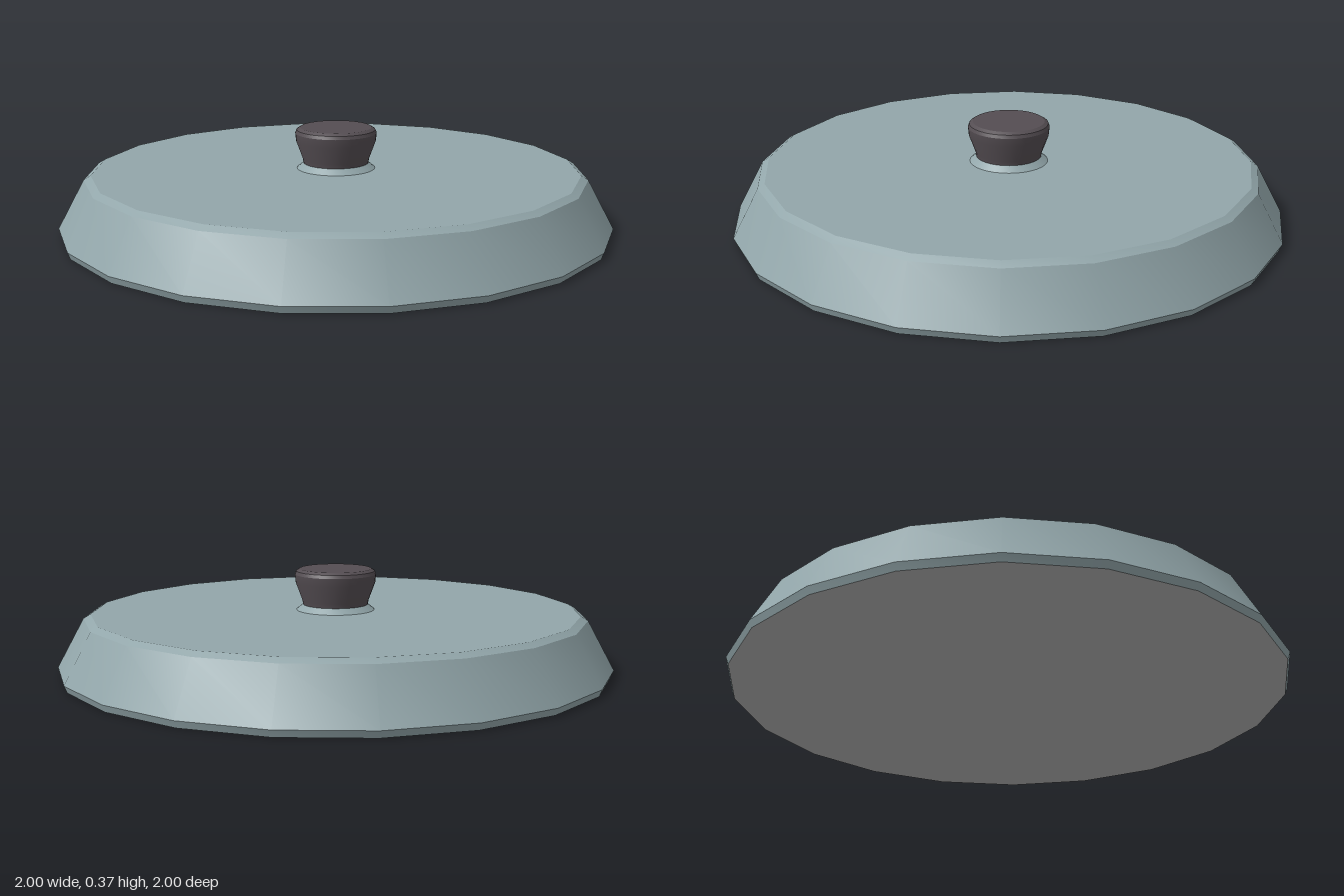
import * as THREE from 'three';
import { toCreasedNormals } from 'three/addons/utils/BufferGeometryUtils.js';

export function createModel() {
  const group = new THREE.Group();
  const paint = (name, color) => {
    const m = new THREE.MeshStandardMaterial({ color });
    m.name = name;
    return m;
  };
  const enamel = paint('greyTealEnamel', 0x92a6aa);
  const knobDark = paint('darkKnob', 0x544d52);
  const underGrey = paint('undersideGrey', 0xb1b1b1);

  // Turned part: profile runs from bottom to top as [radius, height],
  // smooth around the axis with sharp edges between bands
  const turned = (name, pts, sides, material) => {
    const lathe = new THREE.LatheGeometry(pts.map(([r, y]) => new THREE.Vector2(r, y)), sides);
    const mesh = new THREE.Mesh(toCreasedNormals(lathe, 0.36), material);
    mesh.name = name;
    group.add(mesh);
  };

  // Twenty-sided lid: thin lip, sloping wall, small bevel, flat top
  turned('lid', [[0.99, 0], [1, 0.025], [0.905, 0.2], [0.88, 0.215], [0, 0.215]], 20, enamel);

  // Closed underside
  turned('underside', [[0, 0], [0.99, 0]], 20, underGrey);

  // Low collar under the knob
  turned('knobCollar', [[0.142, 0.215], [0.118, 0.235], [0, 0.235]], 32, enamel);

  // Flared knob with an upright rim, chamfered edge and flat top
  turned('knob', [
    [0.118, 0.233], [0.121, 0.25], [0.145, 0.315], [0.148, 0.345],
    [0.143, 0.357], [0.13, 0.365], [0, 0.366],
  ], 32, knobDark);

  return group;
}
